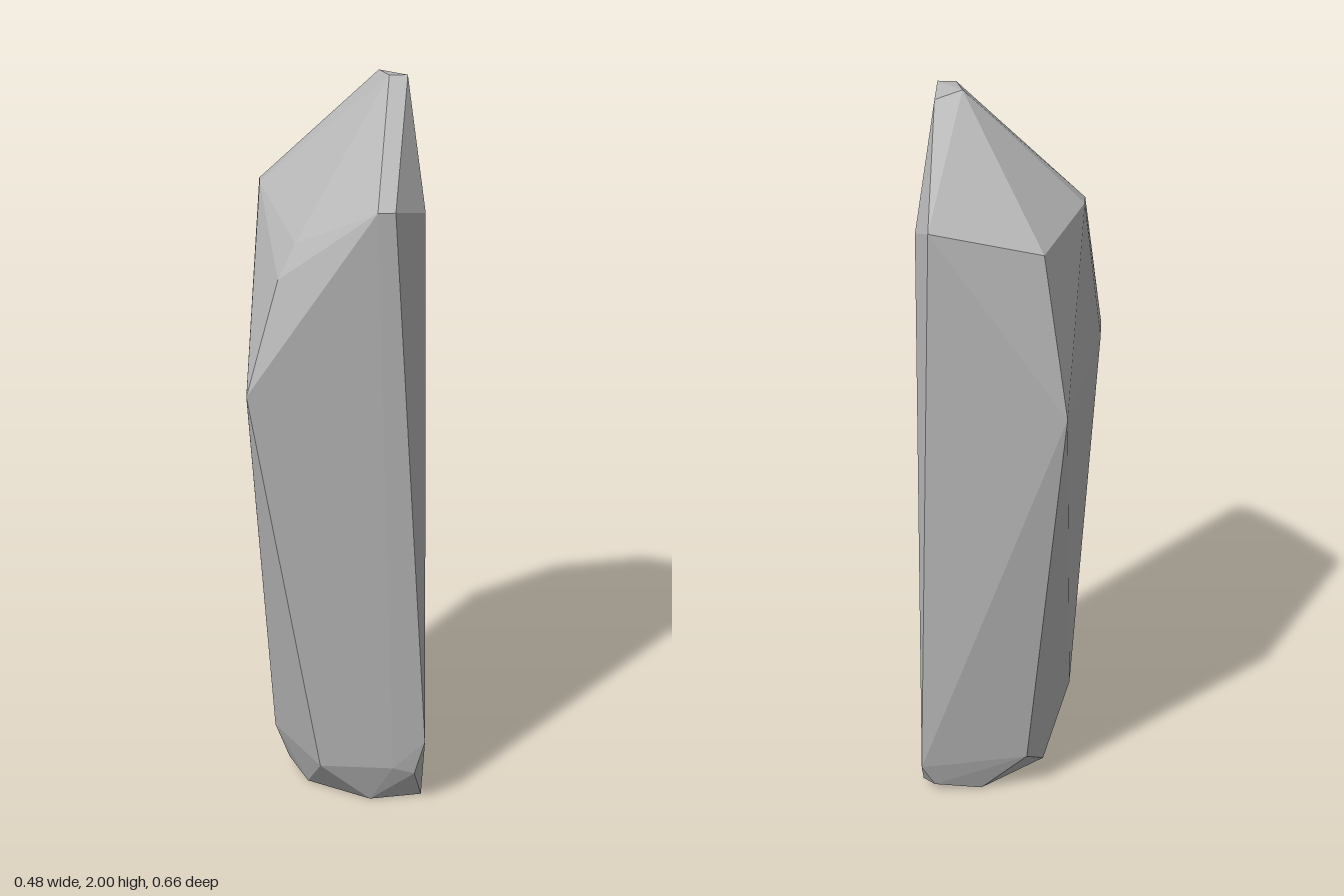
import * as THREE from 'three';
import { ConvexGeometry } from 'three/addons/geometries/ConvexGeometry.js';

export function createModel() {
  const group = new THREE.Group();
  group.name = 'standingStone';
  const stone = new THREE.MeshStandardMaterial({ color: 0xb4b4b4 });
  stone.name = 'grey stone';
  stone.flatShading = true;

  // Corners of each cut ring, as [x, y, z]
  const peak = [
    [0.12, 2, -0.033], [0.19, 1.98, -0.055], [0.19, 2, 0.04], [0.142, 2, 0.04],
  ];
  const shoulder = [
    [-0.195, 1.71, -0.01], [-0.195, 1.71, -0.055], [-0.1, 1.65, -0.275],
    [0.19, 1.71, -0.298], [0.23, 1.68, -0.22], [0.225, 1.68, 0.22],
    [0.14, 1.71, 0.33], [0.095, 1.71, 0.33], [-0.11, 1.61, 0.24], [-0.155, 1.52, 0.26],
  ];
  const waist = [
    [-0.24, 1.22, 0.305], [-0.24, 1.2, 0.25], [-0.165, 1.22, -0.33],
  ];
  const foot = [
    [-0.17, 0.15, 0.09], [-0.06, 0.12, -0.256], [0.235, 0.1, -0.298],
    [0.238, 0.2, 0.305], [0.21, 0.1, 0.3], [0.15, 0.12, 0.305], [-0.05, 0.12, 0.28],
  ];
  const base = [
    [-0.13, 0.03, 0.06], [-0.1, 0, -0.09], [0.07, 0, -0.245], [0.2, 0.03, -0.278],
    [0.235, 0.03, -0.25], [0.235, 0, 0.24], [0.09, 0, 0.26], [-0.08, 0, 0.15],
  ];

  // Flat facets wrapped tightly around the rings
  const corners = [...peak, ...shoulder, ...waist, ...foot, ...base]
    .map((p) => new THREE.Vector3(...p));
  const rock = new THREE.Mesh(new ConvexGeometry(corners), stone);
  rock.name = 'rock';
  group.add(rock);
  return group;
}
